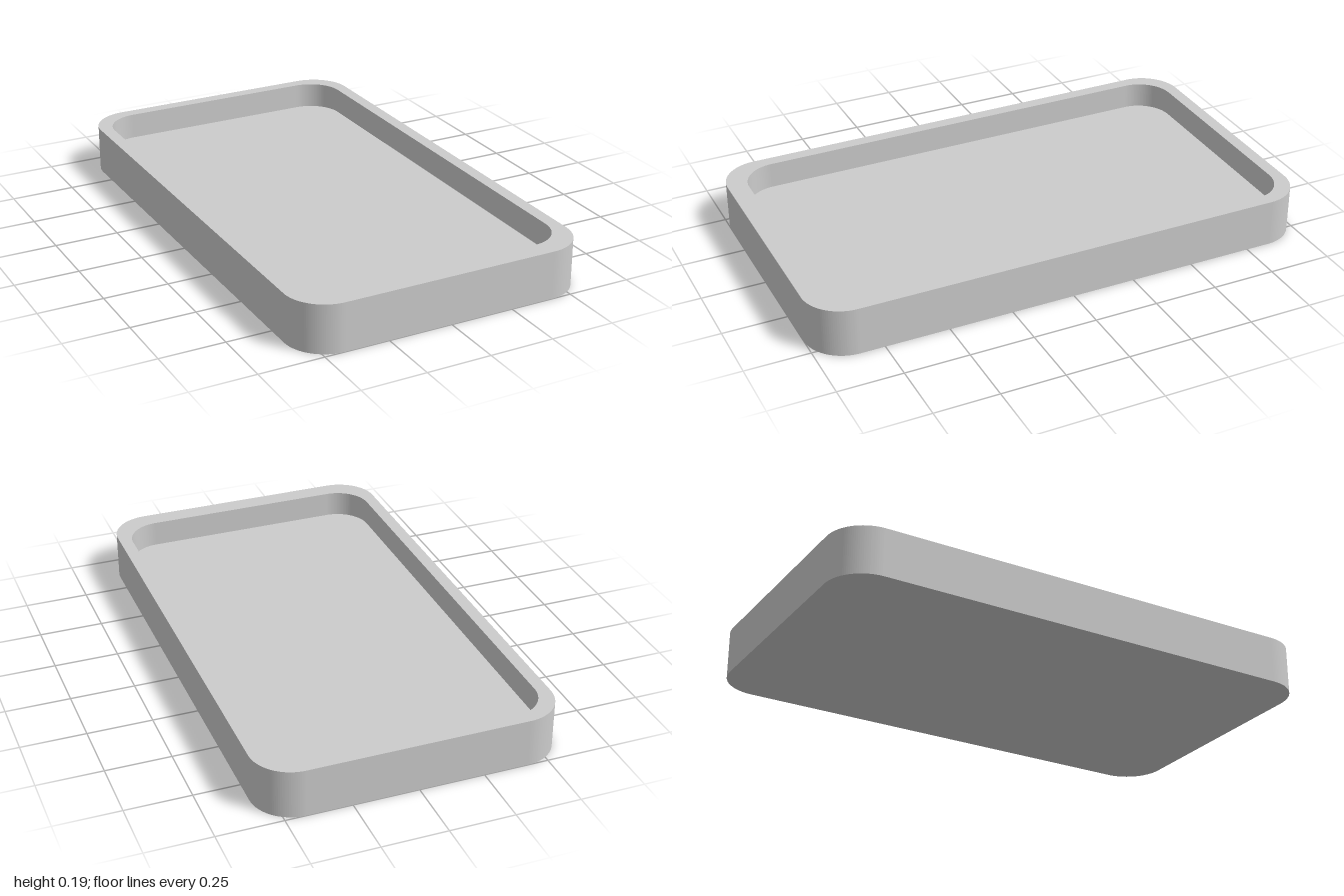
import * as THREE from 'three';

const HEIGHT = 0.188, FLOOR = 0.085;

// Rounded rectangle drawn in the ground plane; shape y becomes -z when laid flat
function roundedRect(PathType, halfW, zBack, zFront, r) {
  const p = new PathType();
  const top = -zBack, bottom = -zFront;
  p.moveTo(-halfW + r, bottom);
  p.lineTo(halfW - r, bottom);
  p.absarc(halfW - r, bottom + r, r, -Math.PI / 2, 0);
  p.lineTo(halfW, top - r);
  p.absarc(halfW - r, top - r, r, 0, Math.PI / 2);
  p.lineTo(-halfW + r, top);
  p.absarc(-halfW + r, top - r, r, Math.PI / 2, Math.PI);
  p.lineTo(-halfW, bottom + r);
  p.absarc(-halfW + r, bottom + r, r, Math.PI, Math.PI * 1.5);
  p.closePath();
  return p;
}

export function createModel() {
  const group = new THREE.Group();
  group.name = 'tray';
  const material = new THREE.MeshStandardMaterial({ color: 0xcccccc });

  const add = (name, geometry, y) => {
    geometry.rotateX(-Math.PI / 2);
    geometry.translate(0, y, 0);
    const mesh = new THREE.Mesh(geometry, material);
    mesh.name = name;
    group.add(mesh);
  };

  const outer = () => roundedRect(THREE.Shape, 0.576, -1, 1, 0.155);
  const inner = (PathType) => roundedRect(PathType, 0.526, -0.95, 0.922, 0.135);

  // Outer wall with the recess cut through it; the front rim is thicker
  const wall = outer();
  wall.holes.push(inner(THREE.Path));
  add('wall', new THREE.ExtrudeGeometry(wall, { depth: HEIGHT, bevelEnabled: false, curveSegments: 16 }), 0);

  // Floor slab filling the lower part of the recess
  add('floor', new THREE.ExtrudeGeometry(inner(THREE.Shape), { depth: FLOOR, bevelEnabled: false, curveSegments: 16 }), 0);

  return group;
}
